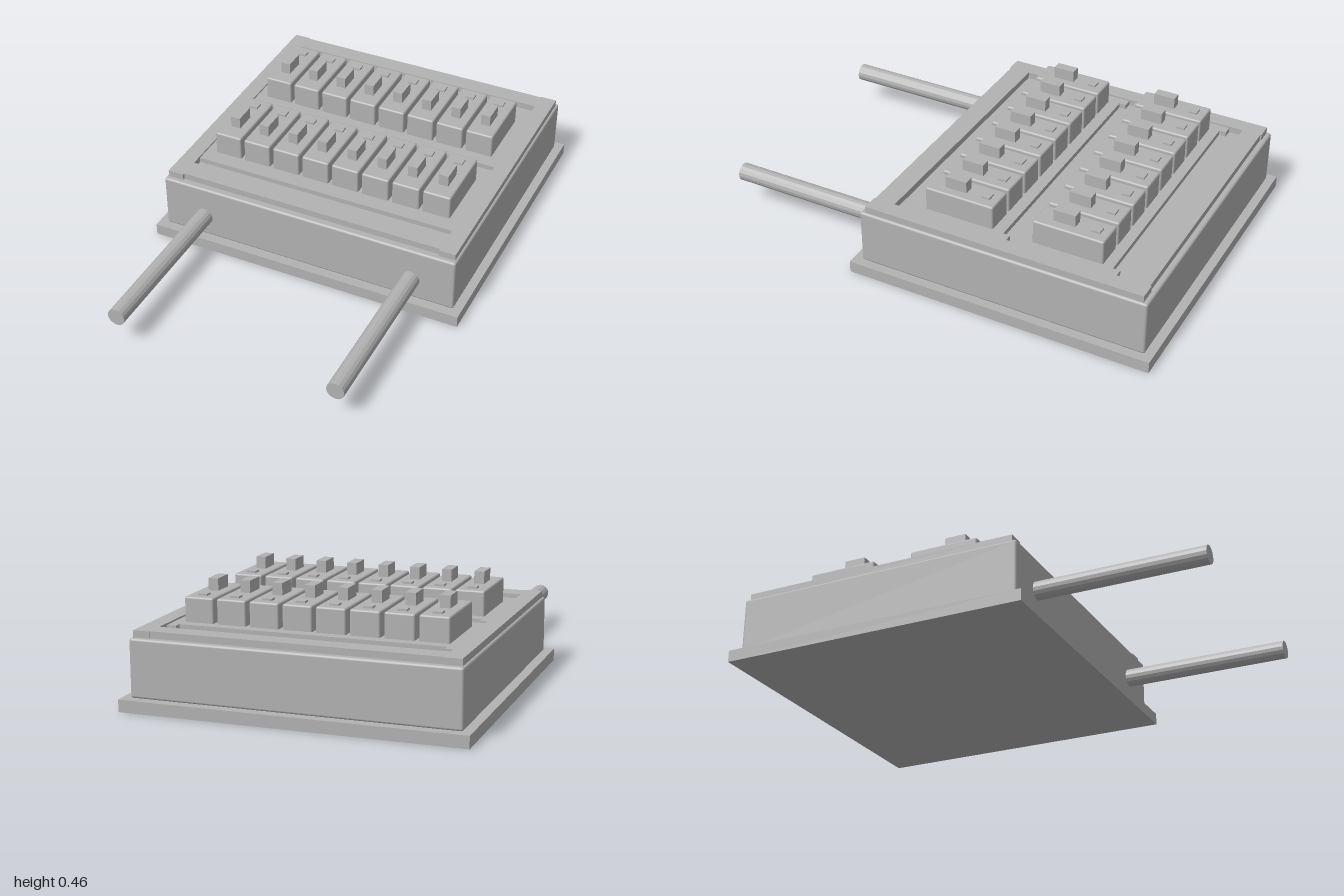
import * as THREE from 'three';
import { RoundedBoxGeometry } from 'three/addons/geometries/RoundedBoxGeometry.js';

export function createModel() {
  const model = new THREE.Group();
  model.name = 'breakerPanel';
  const grey = new THREE.MeshStandardMaterial({ color: 0xb2b2b2 });
  grey.name = 'plain grey';

  // Adds a box given its min and max on each axis; a radius softens its edges
  function box(name, [x0, x1], [y0, y1], [z0, z1], radius = 0, parent = model) {
    const size = [x1 - x0, y1 - y0, z1 - z0];
    const geometry = radius
      ? new RoundedBoxGeometry(...size, 2, radius)
      : new THREE.BoxGeometry(...size);
    const mesh = new THREE.Mesh(geometry, grey);
    mesh.name = name;
    mesh.position.set((x0 + x1) / 2, (y0 + y1) / 2, (z0 + z1) / 2);
    parent.add(mesh);
    return mesh;
  }

  // Mounting plate and housing
  box('backPlate', [-0.7, 0.7], [0, 0.05], [-1, 0.325]);
  box('housing', [-0.665, 0.665], [0.05, 0.287], [-0.965, 0.287], 0.01);

  // Raised rim around the breaker field
  for (const s of [-1, 1]) {
    const xs = [s * 0.585, s * 0.655].sort((a, b) => a - b);
    box('sideRim', xs, [0.28, 0.315], [-0.945, 0.265]);
  }
  box('backRim', [-0.585, 0.585], [0.28, 0.315], [-0.94, -0.86]);
  box('frontRim', [-0.585, 0.585], [0.28, 0.315], [0.17, 0.255]);

  // Two rows of eight breakers, each on its own rail
  const count = 8, pitch = 0.1375, half = 0.061;
  const rows = [
    { name: 'backRow', z: -0.575, rail: [-0.77, -0.36] },
    { name: 'frontRow', z: -0.1, rail: [-0.3, 0.12] },
  ];
  for (const { name, z, rail } of rows) {
    const row = new THREE.Group();
    row.name = name;
    model.add(row);
    box('rail', [-0.585, 0.585], [0.28, 0.308], rail, 0, row);
    // Short tabs close both ends of the slot behind the rail
    for (const s of [-1, 1]) {
      const xs = [s * 0.545, s * 0.585].sort((a, b) => a - b);
      box('railEnd', xs, [0.28, 0.308], [rail[0] - 0.03, rail[0]], 0, row);
    }
    for (let i = 0; i < count; i++) {
      const x = (i - (count - 1) / 2) * pitch;
      const breaker = new THREE.Group();
      breaker.name = 'breaker';
      row.add(breaker);
      box('breakerBody', [x - half, x + half], [0.29, 0.41], [z - 0.151, z + 0.151], 0.008, breaker);
      box('toggle', [x - 0.021, x + 0.021], [0.4, 0.46], [z - 0.013, z + 0.08], 0, breaker);
      box('indicator', [x - 0.019, x + 0.019], [0.405, 0.418], [z - 0.115, z - 0.08], 0, breaker);
    }
  }

  // Cable conduits leaving the front face
  const conduitGeometry = new THREE.CylinderGeometry(0.038, 0.038, 0.73, 16).toNonIndexed();
  conduitGeometry.computeVertexNormals();
  for (const s of [-1, 1]) {
    const conduit = new THREE.Mesh(conduitGeometry, grey);
    conduit.name = s > 0 ? 'leftConduit' : 'rightConduit';
    conduit.rotation.x = Math.PI / 2;
    conduit.position.set(s * 0.477, 0.145, 0.635);
    model.add(conduit);
  }
  return model;
}
